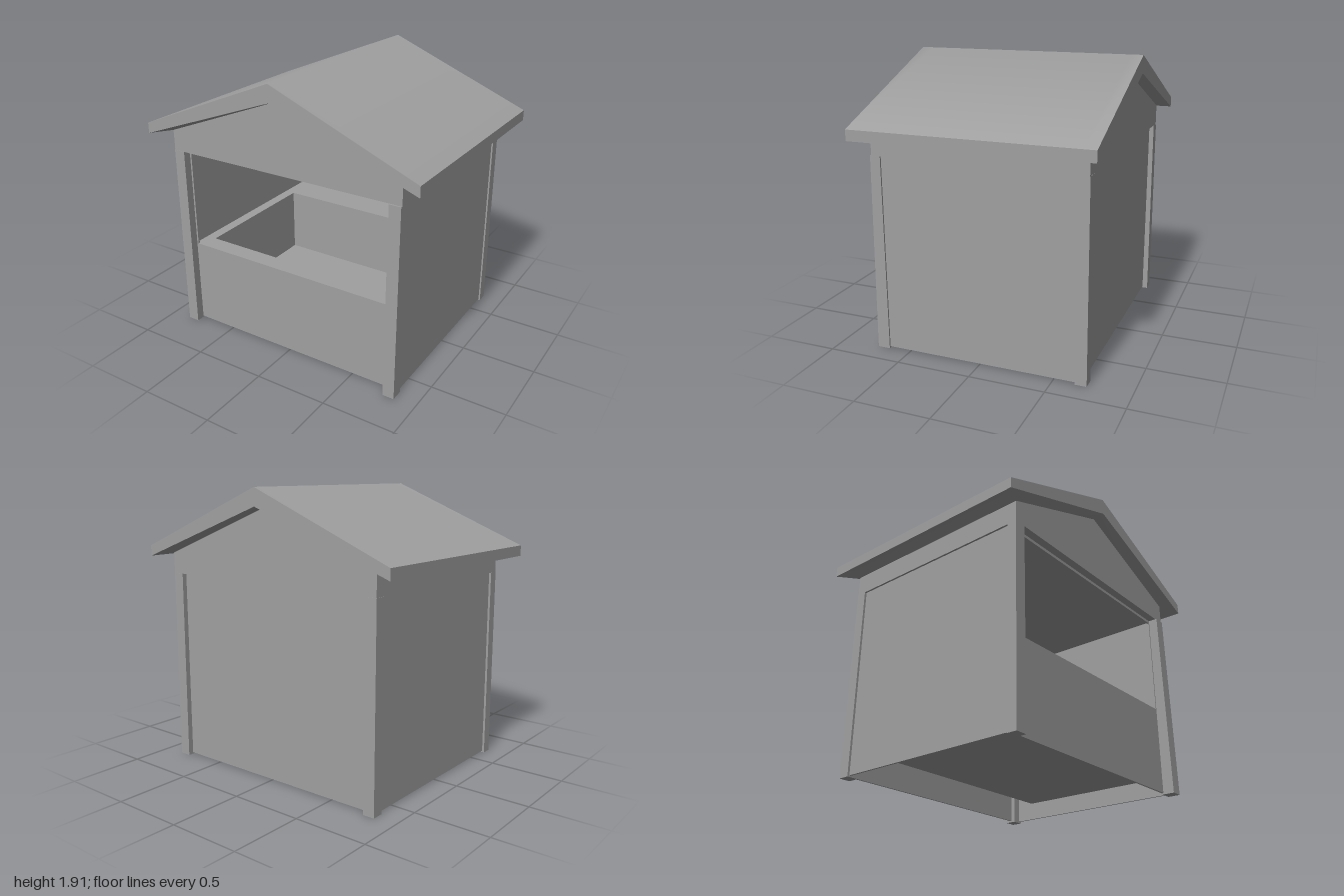
import * as THREE from 'three';
import { toCreasedNormals } from 'three/addons/utils/BufferGeometryUtils.js';

const mat = new THREE.MeshStandardMaterial({ color: 0xa0a0a0 });

function add(group, name, geometry, x = 0, y = 0, z = 0) {
  const mesh = new THREE.Mesh(geometry, mat);
  mesh.name = name;
  mesh.position.set(x, y, z);
  group.add(mesh);
}

// Box given by its min and max corners
function block(group, name, [x0, y0, z0], [x1, y1, z1]) {
  add(group, name, new THREE.BoxGeometry(x1 - x0, y1 - y0, z1 - z0),
    (x0 + x1) / 2, (y0 + y1) / 2, (z0 + z1) / 2);
}

const vectors = (points) => points.map(([x, y]) => new THREE.Vector2(x, y));
const rectangle = (x, y0, y1) => vectors([[-x, y0], [x, y0], [x, y1], [-x, y1]]);

function extrude(points, depth, { hole, steps = 1 } = {}) {
  const shape = new THREE.Shape(points);
  if (hole) shape.holes.push(new THREE.Path(hole));
  return new THREE.ExtrudeGeometry(shape, { depth, steps, bevelEnabled: false });
}

// Horizontal frame with a rectangular opening; z limits run back to front
function flatFrame(group, name, x, [z0, z1], holeX, [h0, h1], y, height) {
  const geo = extrude(rectangle(x, -z1, -z0), height, { hole: rectangle(holeX, -h1, -h0) });
  geo.rotateX(-Math.PI / 2);
  add(group, name, geo, 0, y, 0);
}

// Corner post whose outer face moves out by splay at the foot
function post(group, name, x, zInner, zOuter, splay) {
  const end = Math.sign(zOuter);
  const geo = new THREE.BoxGeometry(0.08, 1.31, Math.abs(zOuter - zInner));
  const pos = geo.attributes.position;
  for (let i = 0; i < pos.count; i++) {
    if (pos.getY(i) < 0 && pos.getZ(i) * end > 0) pos.setZ(i, pos.getZ(i) + end * splay);
  }
  geo.computeVertexNormals();
  add(group, name, geo, x, 0.655, (zInner + zOuter) / 2);
}

export function createModel() {
  const stall = new THREE.Group();
  stall.name = 'marketStall';

  // Corner posts
  post(stall, 'frontLeftPost', 0.813, 0.65, 0.72, 0.015);
  post(stall, 'frontRightPost', -0.817, 0.645, 0.711, 0.004);
  post(stall, 'backLeftPost', 0.813, -0.64, -0.712, 0.005);
  post(stall, 'backRightPost', -0.817, -0.64, -0.712, 0.005);

  // Thin outer walls, with a lining inside above counter height
  for (const side of [-1, 1]) {
    const wall = new THREE.BoxGeometry(0.012, 1.3, 1.32);
    add(stall, 'sideWall', wall, side * 0.836, 0.66, 0);
    const lining = new THREE.BoxGeometry(0.045, 0.72, 1.29);
    add(stall, 'sideLining', lining, side * 0.81, 0.95, 0);
  }
  block(stall, 'backWall', [-0.835, 0.01, -0.68], [0.835, 1.31, -0.668]);

  // Front wall with the serving hatch
  const front = extrude(rectangle(0.835, 0.01, 1.31), 0.012, { hole: rectangle(0.765, 0.61, 1.29) });
  add(stall, 'frontWall', front, 0, 0, 0.645);

  // Counter ledge running round the inside, and the tray hanging from it
  flatFrame(stall, 'counter', 0.83, [-0.67, 0.65], 0.715, [-0.42, 0.535], 0.59, 0.02);
  flatFrame(stall, 'trayWalls', 0.73, [-0.435, 0.55], 0.715, [-0.42, 0.535], 0.1, 0.49);
  block(stall, 'floor', [-0.72, 0.1, -0.425], [0.72, 0.135, 0.54]);

  // Gabled upper body
  const gable = vectors([[-0.855, 1.31], [0.855, 1.31], [0.855, 1.46], [0, 1.79], [-0.855, 1.46]]);
  add(stall, 'gable', extrude(gable, 1.42), 0, 0, -0.71);

  // Pitched roof; the underside dips slightly between the gable ends
  const section = vectors([[-1, 1.425], [-0.855, 1.478], [0, 1.79], [0.855, 1.478],
    [1, 1.425], [1, 1.497], [0, 1.907], [-1, 1.497]]);
  const roof = extrude(section, 1.58, { steps: 20 });
  roof.translate(0, 0, -0.79);
  const pos = roof.attributes.position;
  for (let i = 0; i < pos.count; i++) {
    if (Math.abs(pos.getZ(i)) > 0.75) continue;
    if (Math.abs(pos.getY(i) - 1.478) < 0.001) pos.setY(i, 1.45);
    if (Math.abs(pos.getY(i) - 1.79) < 0.001) pos.setY(i, 1.78);
  }
  // Smooth over the ridge, sharp at the eaves
  add(stall, 'roof', toCreasedNormals(roof, THREE.MathUtils.degToRad(50)));

  return stall;
}
